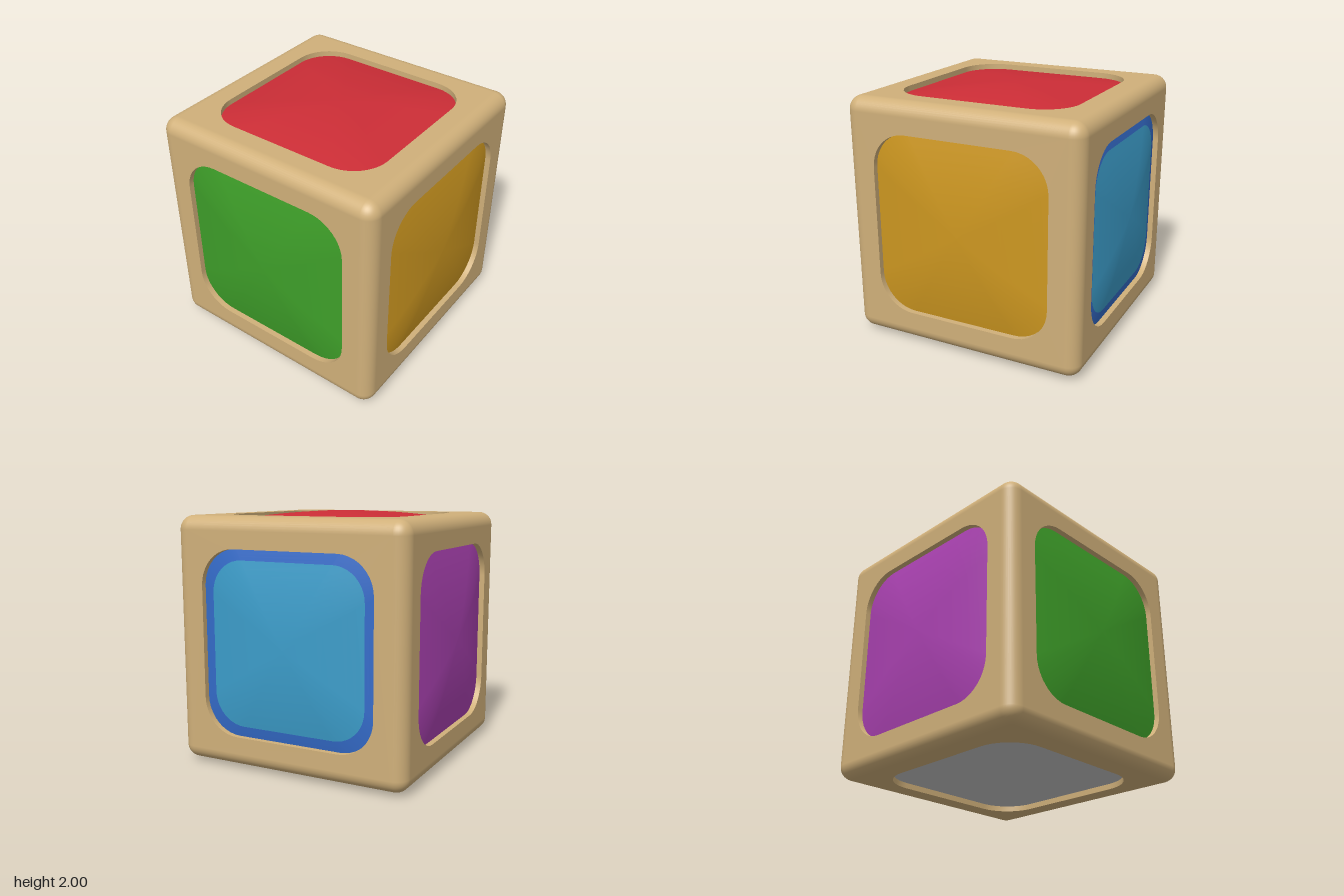
import * as THREE from 'three';
import { RoundedBoxGeometry } from 'three/addons/geometries/RoundedBoxGeometry.js';

const HALF = 0.975;    // half width of the block
const EDGE = 0.11;     // edge rounding
const WINDOW = 0.73;   // half width of each recess
const CORNER = 0.29;   // recess corner radius
const FLOOR = 0.93;    // rim level of each cushion
const RISE = 0.07;     // height of the cushion crown

const material = (name, color) => new THREE.MeshStandardMaterial({ name, color });

// Rounded-square outline, counter-clockwise, without a repeated last point
function outline(steps = 10) {
  const pts = [];
  const c = WINDOW - CORNER;
  for (let q = 0; q < 4; q++) {
    const mid = Math.PI / 4 + q * Math.PI / 2;
    const cx = c * Math.sign(Math.cos(mid)), cy = c * Math.sign(Math.sin(mid));
    for (let i = 0; i <= steps; i++) {
      const a = (q + i / steps) * Math.PI / 2;
      pts.push(new THREE.Vector2(cx + CORNER * Math.cos(a), cy + CORNER * Math.sin(a)));
    }
  }
  return pts;
}

// Joins scaled outlines, each given as [scale, height], into a skin
function loft(rings) {
  const pts = outline(), n = pts.length, pos = [], idx = [];
  for (const [s, z] of rings) for (const p of pts) pos.push(p.x * s, p.y * s, z);
  for (let r = 0; r < rings.length - 1; r++) {
    for (let i = 0; i < n; i++) {
      const j = (i + 1) % n, a = r * n + i, b = r * n + j;
      idx.push(a, b, b + n, a, b + n, a + n);
    }
  }
  const g = new THREE.BufferGeometry();
  g.setAttribute('position', new THREE.Float32BufferAttribute(pos, 3));
  g.setIndex(idx);
  g.computeVertexNormals();
  return g;
}

// Part of a domed cushion between two outline scales
function cushion(outer, inner, steps = 10) {
  const rings = [];
  for (let i = 0; i <= steps; i++) {
    const t = outer + (inner - outer) * i / steps;
    rings.push([t, FLOOR + RISE * (1 - t * t)]);
  }
  return loft(rings);
}

// Rounded edges and corners: a rounded box without its six flat faces
function roundedFrame() {
  const g = new RoundedBoxGeometry(HALF * 2, HALF * 2, HALF * 2, 5, EDGE);
  const p = g.attributes.position, nrm = g.attributes.normal;
  const pos = [], normals = [];
  for (let i = 0; i < p.count; i += 3) {
    const flat = [0, 1, 2].some(axis => [1, -1].some(side =>
      [0, 1, 2].every(k => side * p.getComponent(i + k, axis) > HALF - 1e-4)));
    if (flat) continue;
    for (let k = i; k < i + 3; k++) {
      pos.push(p.getX(k), p.getY(k), p.getZ(k));
      normals.push(nrm.getX(k), nrm.getY(k), nrm.getZ(k));
    }
  }
  const out = new THREE.BufferGeometry();
  out.setAttribute('position', new THREE.Float32BufferAttribute(pos, 3));
  out.setAttribute('normal', new THREE.Float32BufferAttribute(normals, 3));
  return out;
}

// Flat face with a rounded window
function faceFrame() {
  const w = HALF - EDGE;
  const shape = new THREE.Shape([[-w, -w], [w, -w], [w, w], [-w, w]]
    .map(([x, y]) => new THREE.Vector2(x, y)));
  shape.holes.push(new THREE.Path(outline().reverse()));
  return new THREE.ShapeGeometry(shape).translate(0, 0, HALF);
}

export function createModel() {
  const model = new THREE.Group();
  model.name = 'colourCube';
  const tan = material('tan', 0xd0b07a);
  const lightBlue = material('light blue', 0x3c9dca);
  const blue = material('blue', 0x346bc9);

  const add = (parent, name, geometry, mat) => {
    const mesh = new THREE.Mesh(geometry, mat);
    mesh.name = name;
    parent.add(mesh);
  };

  const block = new THREE.Group();
  block.name = 'block';
  block.position.y = 1;
  model.add(block);
  add(block, 'roundedEdges', roundedFrame(), tan);

  const frame = faceFrame();
  const wall = loft([[1, HALF], [1, FLOOR]]);
  const whole = cushion(1, 0);
  const rim = cushion(1, 0.885, 3);
  const centre = cushion(0.885, 0);

  // Name, turn about x, turn about y, colour of the cushion
  const H = Math.PI / 2;
  const sides = [
    ['front', 0, 0, material('yellow', 0xcd9720)],
    ['back', 0, 2 * H, material('purple', 0xab42b2)],
    ['left', 0, H, lightBlue],
    ['right', 0, -H, material('green', 0x3e9f29)],
    ['top', -H, 0, material('red', 0xcc2d36)],
    ['bottom', H, 0, material('grey', 0xc2c2c2)],
  ];
  for (const [name, rx, ry, mat] of sides) {
    const side = new THREE.Group();
    side.name = name + 'Side';
    side.rotation.set(rx, ry, 0);
    block.add(side);
    add(side, name + 'Frame', frame, tan);
    add(side, name + 'RecessWall', wall, tan);
    if (mat === lightBlue) {
      add(side, name + 'CushionRim', rim, blue);
      add(side, name + 'Cushion', centre, mat);
    } else {
      add(side, name + 'Cushion', whole, mat);
    }
  }
  return model;
}
